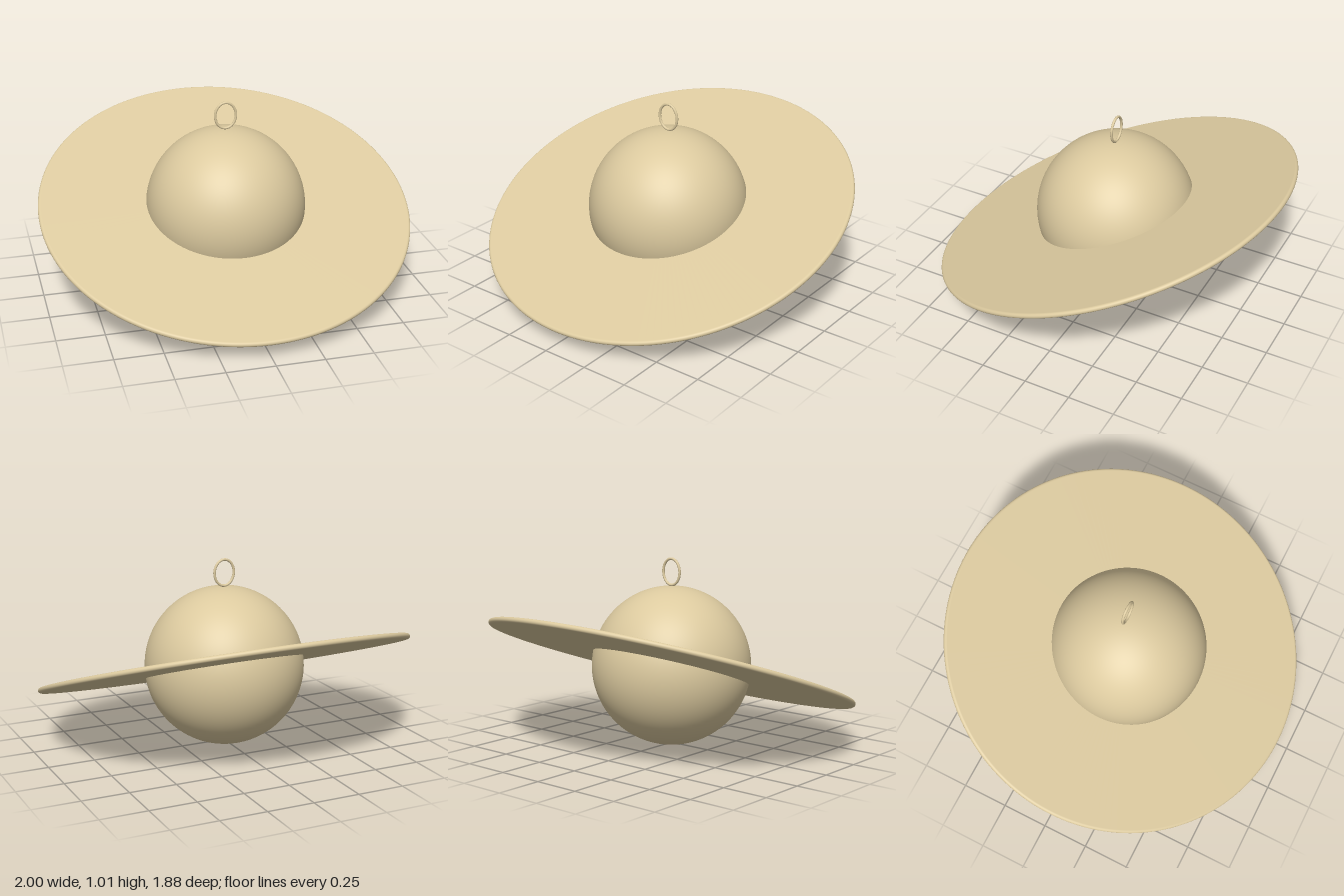
import * as THREE from 'three';

export function createModel() {
  const group = new THREE.Group();
  const sand = new THREE.MeshStandardMaterial({ color: 0xdcca9f });
  sand.name = 'sand';

  const add = (name, geometry, y) => {
    const mesh = new THREE.Mesh(geometry, sand);
    mesh.name = name;
    mesh.position.y = y;
    group.add(mesh);
    return mesh;
  };

  // Planet globe, resting on the ground
  const R = 0.427;
  add('planet', new THREE.SphereGeometry(R, 96, 64), R);

  // Flat disc with a rounded rim, starting inside the globe and tilted toward the front
  const half = 0.014;
  const rim = 1 - half;
  const profile = [new THREE.Vector2(0.36, -half), new THREE.Vector2(rim - 0.002, -half)];
  for (let i = 0; i <= 12; i++) {
    const a = -Math.PI / 2 + (i / 12) * Math.PI;
    profile.push(new THREE.Vector2(rim + half * Math.cos(a), half * Math.sin(a)));
  }
  profile.push(new THREE.Vector2(rim - 0.002, half), new THREE.Vector2(0.36, half));
  const disc = add('planetRing', new THREE.LatheGeometry(profile, 160), R);
  disc.rotation.x = THREE.MathUtils.degToRad(20);

  // Slim oval hanging loop on top
  class Oval extends THREE.Curve {
    getPoint(t, target = new THREE.Vector3()) {
      const a = t * Math.PI * 2;
      return target.set(0.056 * Math.cos(a), 0.07 * Math.sin(a), 0);
    }
  }
  add('hangingLoop', new THREE.TubeGeometry(new Oval(), 64, 0.007, 12, true), 0.93);

  return group;
}
